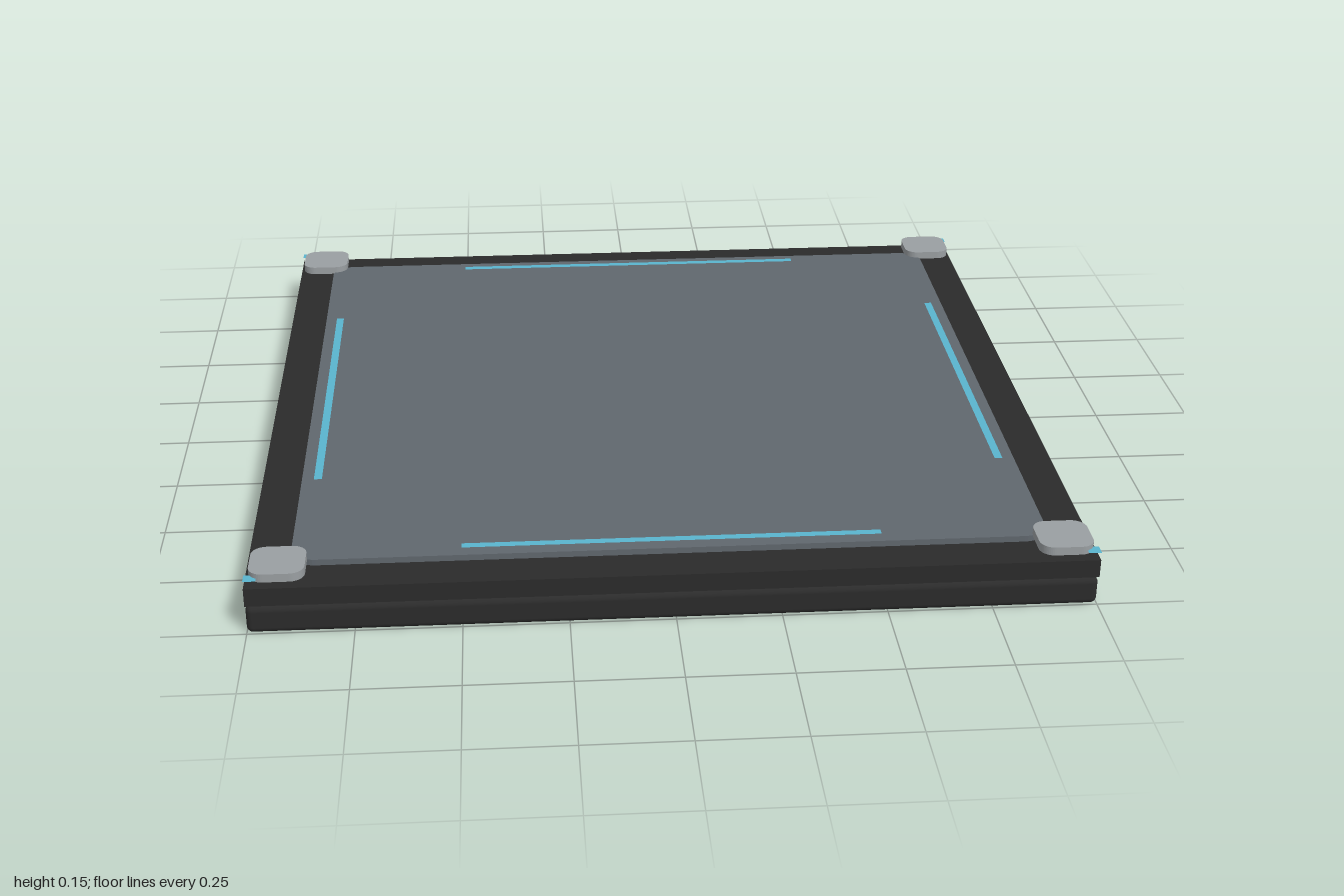
import * as THREE from 'three';
import { RoundedBoxGeometry } from 'three/addons/geometries/RoundedBoxGeometry.js';

const mat = (name, color, side = THREE.FrontSide) =>
  new THREE.MeshStandardMaterial({ name, color, side });

// Horizontal slab with rounded vertical corners, resting on y = 0
function roundedSlab(size, radius, height) {
  const h = size / 2, c = h - radius;
  const shape = new THREE.Shape();
  shape.absarc(c, c, radius, 0, Math.PI / 2);
  shape.absarc(-c, c, radius, Math.PI / 2, Math.PI);
  shape.absarc(-c, -c, radius, Math.PI, Math.PI * 1.5);
  shape.absarc(c, -c, radius, Math.PI * 1.5, Math.PI * 2);
  shape.closePath();
  return new THREE.ExtrudeGeometry(shape, { depth: height, bevelEnabled: false, curveSegments: 6 })
    .rotateX(-Math.PI / 2);
}

export function createModel() {
  const model = new THREE.Group();
  model.name = 'floorTile';
  const dark = mat('darkCasing', 0x2b2b2b);
  const slate = mat('slatePanel', 0x60676e);
  const grey = mat('greyPad', 0x9a9fa2);
  const blue = mat('blueLight', 0x5ab4ce, THREE.DoubleSide);

  const add = (name, geometry, material, x, y, z) => {
    const mesh = new THREE.Mesh(geometry, material);
    mesh.name = name;
    mesh.position.set(x, y, z);
    model.add(mesh);
    return mesh;
  };

  // Softened base, with a narrow seam below the square upper frame
  add('base', new RoundedBoxGeometry(2, 0.07, 2, 3, 0.015), dark, 0, 0.035, 0);
  add('seam', new THREE.BoxGeometry(1.98, 0.012, 1.98), dark, 0, 0.071, 0);
  add('frame', new THREE.BoxGeometry(2, 0.046, 2), dark, 0, 0.097, 0);

  // Raised walking surface
  add('topPanel', roundedSlab(1.8, 0.06, 0.017), slate, 0, 0.118, 0);

  // Light strip along each side
  const strip = new THREE.PlaneGeometry(1, 0.02).rotateX(-Math.PI / 2);
  for (let i = 0; i < 4; i++) {
    const a = i * Math.PI / 2;
    add('lightStrip', strip, blue, Math.sin(a) * 0.86, 0.138, Math.cos(a) * 0.86).rotation.y = a;
  }

  // Corner pads, each with a small light plate at its outer corner
  const pad = roundedSlab(0.13, 0.035, 0.021);
  const plate = new THREE.PlaneGeometry(0.03, 0.03).rotateX(-Math.PI / 2);
  for (const x of [-1, 1]) for (const z of [-1, 1]) {
    add('cornerPad', pad, grey, x * 0.925, 0.131, z * 0.925);
    add('cornerLight', plate, blue, x * 0.985, 0.14, z * 0.985);
  }
  return model;
}
